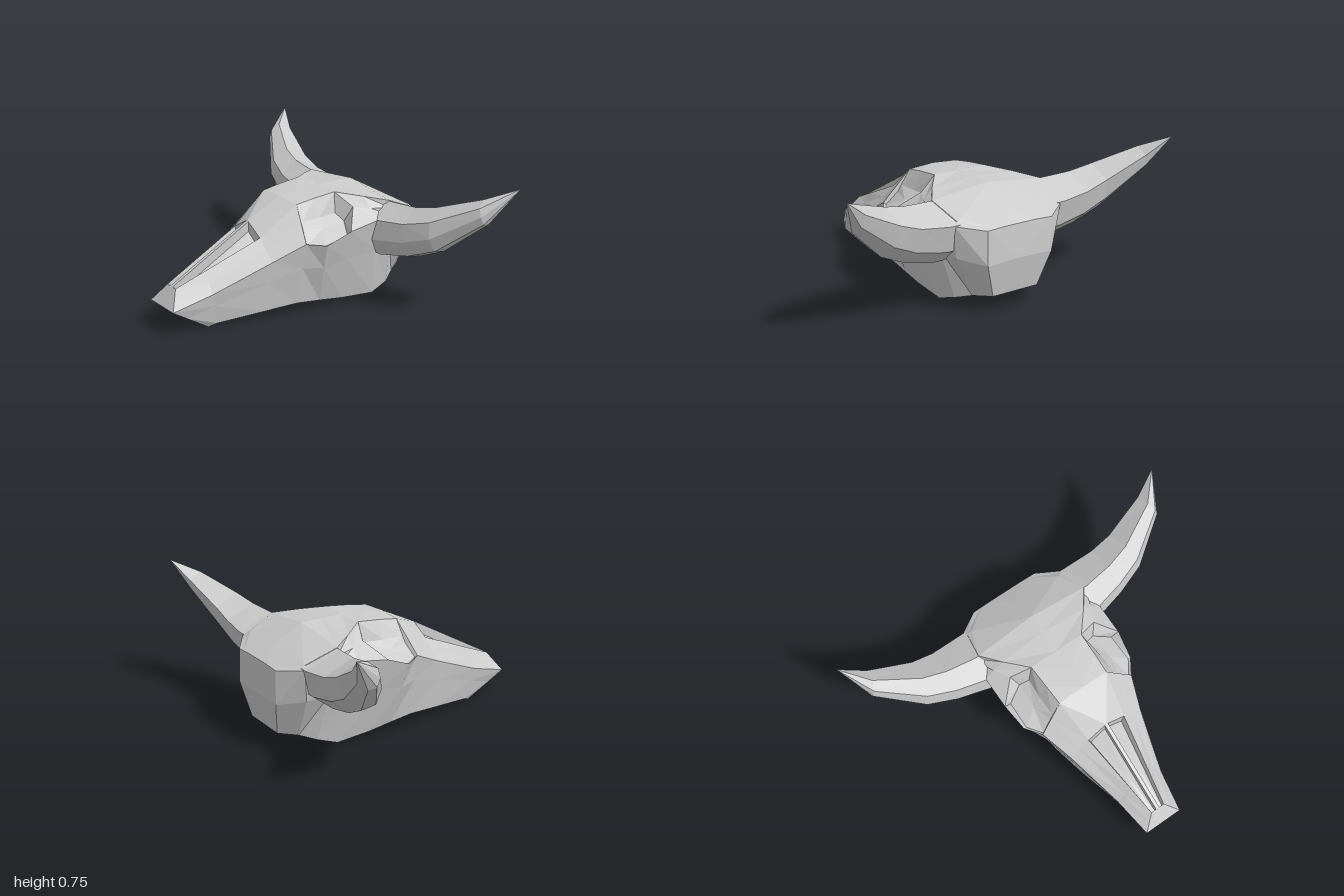
import * as THREE from 'three';

const material = new THREE.MeshStandardMaterial({ color: 0xcccccc, flatShading: true });
const lerp = (a, b, t) => a.map((v, i) => v + (b[i] - v) * t);

// Collects faces for the +x side; the mesh may also carry their mirror images.
class Faces {
  constructor() { this.tris = []; }
  tri(a, b, c) { this.tris.push([a, b, c]); }
  quad(a, b, c, d) { this.tri(a, b, c); this.tri(a, c, d); }
  fan(centre, ring, closed) {
    for (let i = 0; i < ring.length - (closed ? 0 : 1); i++) this.tri(centre, ring[i], ring[(i + 1) % ring.length]);
  }
  band(a, b) {
    a.forEach((p, i) => { const j = (i + 1) % a.length; this.quad(p, a[j], b[j], b[i]); });
  }
  mesh(name, { right = true, left = true } = {}) {
    const flip = ([x, y, z]) => [-x, y, z];
    const all = [];
    for (const [a, b, c] of this.tris) {
      if (left) all.push(a, b, c);
      if (right) all.push(flip(a), flip(c), flip(b));
    }
    const g = new THREE.BufferGeometry();
    g.setAttribute('position', new THREE.Float32BufferAttribute(all.flat(), 3));
    g.computeVertexNormals();
    const m = new THREE.Mesh(g, material);
    m.name = name;
    return m;
  }
}

// Half cross-section: top centre, top edge, brow, cheek ridge, side, lower edge, bottom centre
function section(top, edge, ridge, low, brow = lerp(edge, ridge, 0.5), side = lerp(ridge, low, 0.4)) {
  return [top, edge, brow, ridge, side, low, [0, low[1], low[2]]];
}

const sections = [
  section([0, .235, .69], [.04, .235, .69], [.11, .14, .75], [.09, 0, .53]),
  section([0, .322, .53], [.065, .301, .53], [.145, .20, .53], [.115, .02, .49]),
  section([0, .49, .22], [.115, .43, .22], [.23, .33, .22], [.18, .045, .25]),
  section([0, .59, .01], [.15, .58, .01], [.29, .41, .05], [.22, .06, .06]),
  section([0, .60, -.10], [.155, .595, -.10], [.35, .40, -.04], [.24, .05, -.08]),
  section([0, .605, -.23], [.16, .607, -.23], [.37, .455, -.18], [.255, .035, -.22], [.27, .545, -.27]),
  section([0, .605, -.36], [.26, .585, -.35], [.37, .48, -.36], [.265, .02, -.42]),
  section([0, .60, -.47], [.34, .563, -.46], [.36, .48, -.47], [.25, .055, -.53]),
  section([0, .52, -.62], [.28, .505, -.62], [.335, .475, -.64], [.2, .08, -.61], undefined, [.31, .3, -.62]),
  section([0, .455, -.73], [.1, .455, -.73], [.2, .45, -.73], [.14, .09, -.70], undefined, [.2, .27, -.735]),
];

function cranium() {
  const f = new Faces();
  const noseOpening = (r, c) => r < 2 && c === 0;
  const eyeOpening = (r, c) => (r === 3 || r === 4) && (c === 1 || c === 2);
  for (let r = 0; r < sections.length - 1; r++) {
    const a = sections[r], b = sections[r + 1];
    for (let c = 0; c < a.length - 1; c++) {
      if (!noseOpening(r, c) && !eyeOpening(r, c)) f.quad(a[c], a[c + 1], b[c + 1], b[c]);
    }
  }
  // muzzle and back of the head
  f.fan([0, .14, .75], [...sections[0]].reverse());
  f.fan([0, .28, -.74], sections.at(-1));
  return f.mesh('skull');
}

// Recess with walls from its rim down to a floor
function pit(f, rim, floor) {
  const centre = [0, 1, 2].map(k => floor.reduce((s, p) => s + p[k], 0) / floor.length);
  f.band(rim, floor);
  f.fan(centre, floor, true);
}

// Shallow hollows: the forehead slopes in, the brow stands up behind
function eyeSockets() {
  const f = new Faces();
  const [d, m, e] = sections.slice(3, 6);
  pit(f, [d[1], d[2], d[3], m[3], e[3], e[2], e[1], m[1]], [
    [.20, .50, .01], [.22, .465, .02], [.28, .40, .04], [.335, .395, -.04],
    [.33, .415, -.19], [.24, .465, -.235], [.19, .50, -.215], [.20, .50, -.10],
  ]);
  return f.mesh('eyeSockets');
}

function nasalCavity() {
  const f = new Faces();
  const [a, , c] = sections;
  const barA = [.01, a[0][1], a[0][2]], barC = [.01, c[0][1], c[0][2]];
  const rim = [barA, a[1], c[1], barC];
  pit(f, rim, rim.map(([x, y, z]) => [.01 + (x - .01) * .85, y - .055, z]));
  // thin bone dividing the cavity
  f.quad(a[0], barA, barC, c[0]);
  return f.mesh('nasalCavity');
}

// Horn profile as [z, y], and rings as [x, y, z, half height, half depth, lean]
const hornProfile = [[-.92, .45], [.25, .97], [.93, .45], [1, -.25], [.68, -.85], [0, -1], [-.7, -.45]];
const hornRings = [
  [.28, .41, -.50, .155, .16, 0],
  [.36, .41, -.50, .155, .16, 0],
  [.53, .435, -.515, .14, .135, .1],
  [.67, .485, -.54, .12, .113, .35],
  [.89, .62, -.635, .065, .065, .5],
];

function horn(name, mirrored) {
  const f = new Faces();
  const rings = hornRings.map(([x, y, z, h, d, lean]) =>
    hornProfile.map(([pz, py]) => [x + lean * (pz * d - py * h) * .5, y + py * h, z + pz * d]));
  for (let i = 0; i < rings.length - 1; i++) f.band(rings[i], rings[i + 1]);
  f.fan([1, .745, -.75], rings.at(-1), true);
  return f.mesh(name, { left: !mirrored, right: mirrored });
}

export function createModel() {
  const group = new THREE.Group();
  group.name = 'hornedSkull';
  group.add(cranium(), eyeSockets(), nasalCavity(), horn('leftHorn', false), horn('rightHorn', true));
  return group;
}
